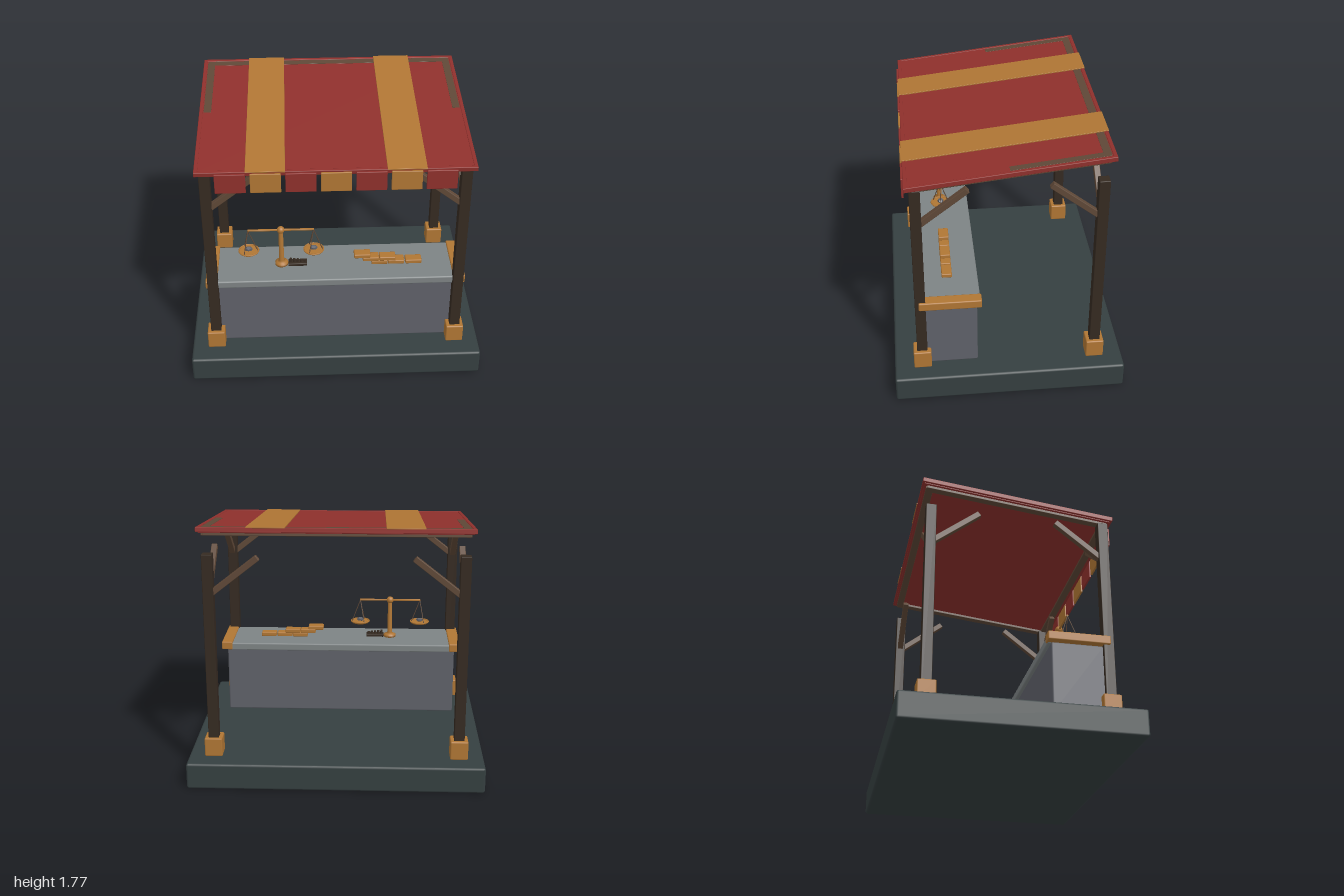
import * as THREE from 'three';
import { RoundedBoxGeometry } from 'three/addons/geometries/RoundedBoxGeometry.js';

const mat = (name, color) => Object.assign(new THREE.MeshStandardMaterial({ color }), { name });

export function createModel() {
  const root = new THREE.Group();
  root.name = 'marketStall';

  const slate = mat('dark slate', 0x353f40);
  const darkWood = mat('dark wood', 0x352a21);
  const wood = mat('brown wood', 0x5f4837);
  const gold = mat('ochre', 0xb07634);
  const red = mat('red cloth', 0x8f302c);
  const stone = mat('grey stone', 0x5f6169);
  const paleStone = mat('pale stone', 0x7d8384);

  const add = (parent, name, geometry, material, x = 0, y = 0, z = 0) => {
    const m = new THREE.Mesh(geometry, material);
    m.name = name;
    m.position.set(x, y, z);
    parent.add(m);
    return m;
  };
  // Box with a small bevel, centred on x, y, z
  const box = (parent, name, material, w, h, d, x, y, z, bevel = 0.004) =>
    add(parent, name, new RoundedBoxGeometry(w, h, d, 1, bevel), material, x, y, z);
  const group = (name, x, y, z) => {
    const g = new THREE.Group();
    g.name = name;
    g.position.set(x, y, z);
    root.add(g);
    return g;
  };
  // Round rod between two points
  const rod = (parent, name, material, a, b, r) => {
    const dir = b.clone().sub(a);
    const m = add(parent, name, new THREE.CylinderGeometry(r, r, dir.length(), 8), material);
    m.position.copy(a).add(b).multiplyScalar(0.5);
    m.quaternion.setFromUnitVectors(new THREE.Vector3(0, 1, 0), dir.normalize());
  };

  // Platform
  box(root, 'platform', slate, 2, 0.18, 1.55, 0, 0.09, 0, 0.015);

  // Posts with feet and two diagonal braces each
  const rise = 0.255, run = 0.325;
  const braceLength = Math.hypot(rise, run), braceAngle = Math.atan2(rise, run);
  for (const sx of [-1, 1]) {
    for (const sz of [-1, 1]) {
      const x = sx * 0.83, z = sz * 0.585;
      box(root, 'post', darkWood, 0.07, 1.4, 0.07, x, 0.88, z);
      box(root, 'postFoot', gold, 0.12, 0.13, 0.12, x, 0.245, z, 0.008);
      const across = box(root, 'crossBrace', wood, braceLength, 0.04, 0.04,
        x - sx * run / 2, 1.43, z);
      across.rotation.z = -sx * braceAngle;
      const along = box(root, 'sideBrace', wood, 0.04, 0.04, braceLength,
        x, 1.43, z - sz * run / 2);
      along.rotation.x = sz * braceAngle;
    }
  }

  // Counter
  box(root, 'counterBody', stone, 1.68, 0.48, 0.35, 0, 0.42, 0.385, 0.01);
  box(root, 'counterTop', paleStone, 1.66, 0.055, 0.4, 0, 0.682, 0.388, 0.01);
  for (const sx of [-1, 1]) {
    box(root, 'counterEndBoard', gold, 0.08, 0.06, 0.415, sx * 0.84, 0.69, 0.388, 0.008);
  }

  // Sloping canopy
  const roof = group('canopy', 0, 1.675, 0);
  roof.rotation.x = 0.113;
  box(roof, 'canopyCloth', red, 1.75, 0.035, 1.28, 0, -0.003, 0);
  for (const s of [-1, 1]) {
    box(roof, 'canopySideRim', red, 0.025, 0.032, 1.305, s * 0.877, 0.002, 0);
    box(roof, 'canopyEndRim', red, 1.78, 0.032, 0.025, 0, 0.002, s * 0.641);
    box(roof, 'canopyStripe', gold, 0.25, 0.009, 1.315, s * 0.445, 0.018, 0, 0.002);
    // Frame beams below, showing at the upper edge of the cloth
    box(roof, 'sideBeam', wood, 0.05, 0.036, 1.24, s * 0.835, -0.021, 0);
    box(roof, 'endBeam', wood, 1.7, 0.036, 0.05, 0, -0.021, s * 0.6);
    box(roof, 'sideBeamTop', wood, 0.05, 0.006, 0.62, s * 0.835, 0.0135, -0.31, 0.001);
  }
  box(roof, 'backBeamTop', wood, 1.7, 0.006, 0.05, 0, 0.0135, -0.6, 0.001);

  // Hanging front flaps
  for (let i = -3; i <= 3; i++) {
    box(root, 'frontFlap', i % 2 ? red : gold, 0.195, 0.137, 0.015, i * 0.222, 1.54, 0.656);
  }
  // The outer flaps are red and alternate towards the middle

  // Balance scale
  const scale = group('balanceScale', -0.365, 0.71, 0.395);
  const column = [[0, 0], [0.045, 0], [0.045, 0.018], [0.03, 0.024], [0.018, 0.034],
    [0.015, 0.29], [0, 0.29]].map(([x, y]) => new THREE.Vector2(x, y));
  add(scale, 'scaleColumn', new THREE.LatheGeometry(column, 20), gold);
  add(scale, 'scaleFinial', new THREE.SphereGeometry(0.026, 16, 12), gold, 0, 0.285, 0);
  box(scale, 'scaleBeam', gold, 0.45, 0.012, 0.014, 0, 0.285, 0, 0.003);
  for (const s of [-1, 1]) {
    const x = s * 0.222;
    add(scale, 'scalePan', new THREE.CylinderGeometry(0.07, 0.06, 0.012, 24), gold, x, 0.114, 0);
    const rim = add(scale, 'panRim', new THREE.TorusGeometry(0.067, 0.005, 6, 24), gold, x, 0.12, 0);
    rim.rotation.x = Math.PI / 2;
    for (let k = 0; k < 3; k++) {
      const a = k * Math.PI * 2 / 3;
      rod(scale, 'panString', wood, new THREE.Vector3(x, 0.283, 0),
        new THREE.Vector3(x + 0.06 * Math.cos(a), 0.12, 0.06 * Math.sin(a)), 0.003);
    }
    const ore = add(scale, 'oreLump', new THREE.DodecahedronGeometry(0.022), stone, x, 0.132, 0);
    ore.scale.set(1.25, 0.7, 1);
  }

  // Tray of small weights
  const tray = group('weightTray', -0.255, 0.71, 0.4);
  box(tray, 'trayBoard', darkWood, 0.13, 0.02, 0.06, 0, 0.01, 0);
  for (let i = 0; i < 5; i++) {
    const h = 0.026 - i * 0.003;
    add(tray, 'weight', new THREE.CylinderGeometry(0.009, 0.01, h, 10), darkWood,
      -0.048 + i * 0.024, 0.02 + h / 2, 0);
  }

  // Stepped stack of ingots
  const ingots = [[0.19, 2], [0.25, 1], [0.365, 1], [0.31, 0], [0.425, 0], [0.545, 0]];
  for (const [x, level] of ingots) {
    box(root, 'ingot', gold, 0.112, 0.03, 0.07, x, 0.723 + level * 0.027, 0.395, 0.006);
  }

  return root;
}
